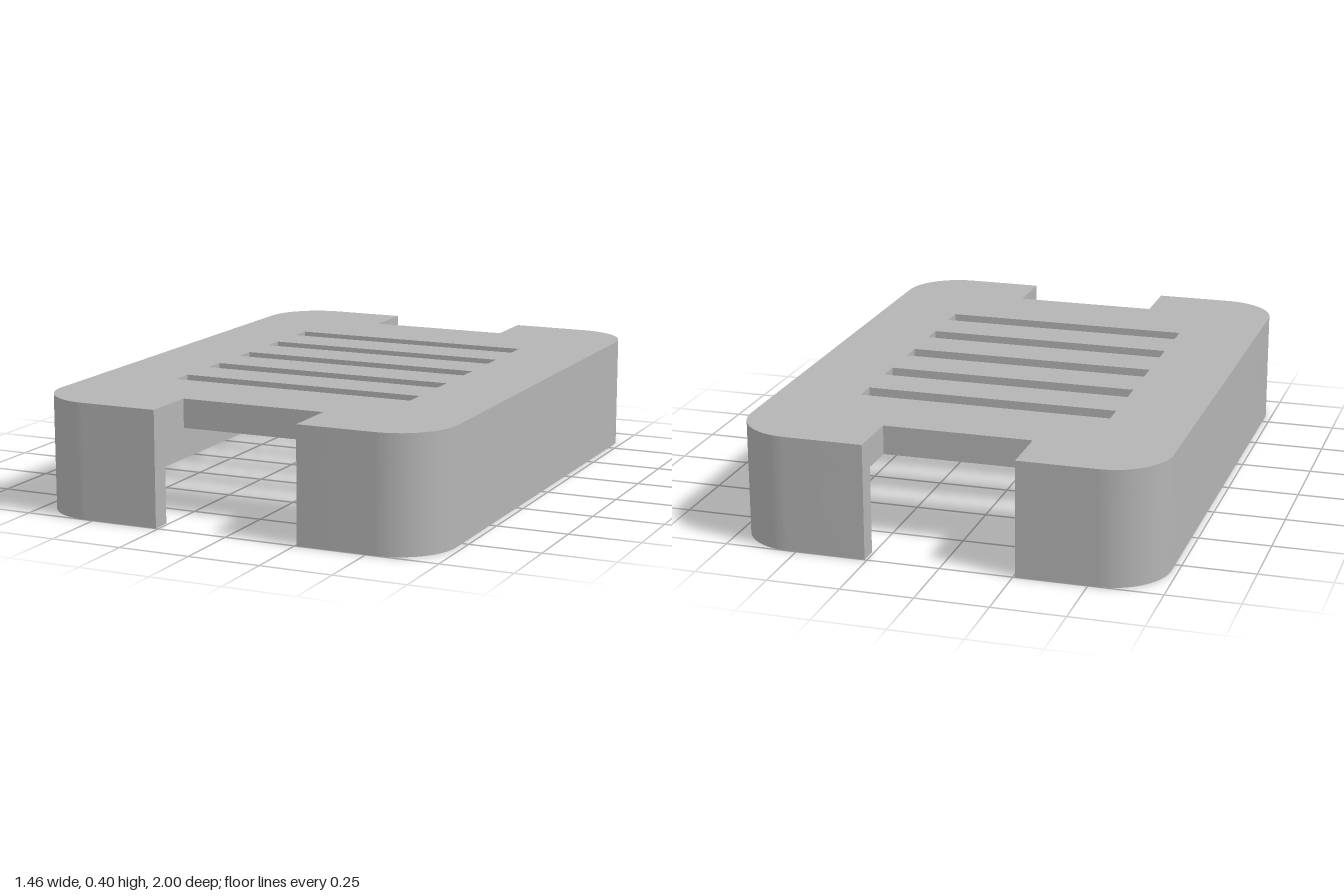
import * as THREE from 'three';
import { toCreasedNormals } from 'three/addons/utils/BufferGeometryUtils.js';

const W = 0.728, L = 1;             // half width, half length
const R = 0.2, T = 0.07;            // corner radius, wall thickness
const NOTCH = 0.258, NOTCH_Z = 0.8; // end notch half width and inner edge
const H = 0.4, PLATE_Y = 0.3;       // total height, underside of the top plate

// Extrude a plan shape upwards from y0 to y1, smooth round the corners
function extrudeUp(shape, y0, y1) {
  const g = new THREE.ExtrudeGeometry(shape, { depth: y1 - y0, bevelEnabled: false, curveSegments: 20 });
  g.rotateX(-Math.PI / 2);
  g.translate(0, y0, 0);
  return toCreasedNormals(g, 0.5);
}

// Top plate: rounded outline with a notch at each end and five vent slots
function plateShape() {
  const s = new THREE.Shape();
  s.moveTo(NOTCH, -NOTCH_Z);
  s.lineTo(NOTCH, -L);
  s.lineTo(W - R, -L);
  s.absarc(W - R, -L + R, R, -Math.PI / 2, 0, false);
  s.lineTo(W, L - R);
  s.absarc(W - R, L - R, R, 0, Math.PI / 2, false);
  s.lineTo(NOTCH, L);
  s.lineTo(NOTCH, NOTCH_Z);
  s.lineTo(-NOTCH, NOTCH_Z);
  s.lineTo(-NOTCH, L);
  s.lineTo(-W + R, L);
  s.absarc(-W + R, L - R, R, Math.PI / 2, Math.PI, false);
  s.lineTo(-W, -L + R);
  s.absarc(-W + R, -L + R, R, Math.PI, Math.PI * 1.5, false);
  s.lineTo(-NOTCH, -L);
  s.lineTo(-NOTCH, -NOTCH_Z);
  s.closePath();

  const sx = 0.443, sz = 0.0415;
  for (let i = -2; i <= 2; i++) {
    const c = i * 0.2375;
    const slot = new THREE.Path();
    slot.moveTo(-sx, c - sz);
    slot.lineTo(-sx, c + sz);
    slot.lineTo(sx, c + sz);
    slot.lineTo(sx, c - sz);
    slot.closePath();
    s.holes.push(slot);
  }
  return s;
}

// C-shaped wall along one long side, ending at the notches
function wallShape() {
  const s = new THREE.Shape();
  const r = R - T;
  s.moveTo(NOTCH, -L);
  s.lineTo(W - R, -L);
  s.absarc(W - R, -L + R, R, -Math.PI / 2, 0, false);
  s.lineTo(W, L - R);
  s.absarc(W - R, L - R, R, 0, Math.PI / 2, false);
  s.lineTo(NOTCH, L);
  s.lineTo(NOTCH, L - T);
  s.lineTo(W - R, L - T);
  s.absarc(W - R, L - R, r, Math.PI / 2, 0, true);
  s.lineTo(W - T, -L + R);
  s.absarc(W - R, -L + R, r, 0, -Math.PI / 2, true);
  s.lineTo(NOTCH, -L + T);
  s.closePath();
  return s;
}

export function createModel() {
  const group = new THREE.Group();
  group.name = 'ventedCover';
  const grey = new THREE.MeshStandardMaterial({ color: 0xb4b4b4 });
  grey.name = 'grey';

  const plate = new THREE.Mesh(extrudeUp(plateShape(), PLATE_Y, H), grey);
  plate.name = 'slottedTopPlate';
  group.add(plate);

  // The right wall is the left one turned half round
  const wallGeometry = extrudeUp(wallShape(), 0, PLATE_Y);
  ['leftWall', 'rightWall'].forEach((name, i) => {
    const wall = new THREE.Mesh(wallGeometry, grey);
    wall.name = name;
    wall.rotation.y = i * Math.PI;
    group.add(wall);
  });
  return group;
}
